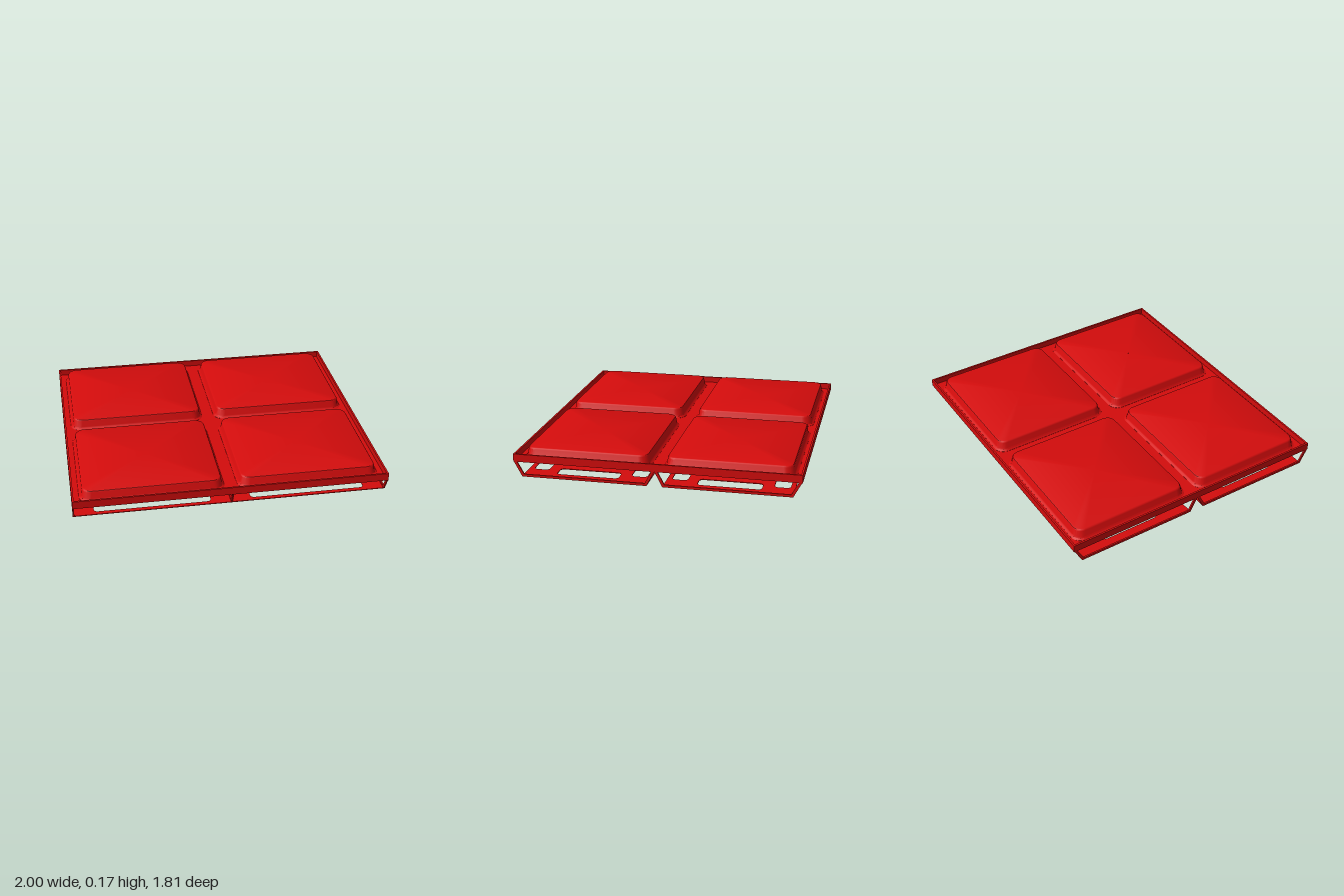
import * as THREE from 'three';
import { toCreasedNormals } from 'three/addons/utils/BufferGeometryUtils.js';

const red = new THREE.MeshStandardMaterial({ color: 0xd40c0c });
const CX = 0.497, CZ = 0.45; // cell centre

function add(parent, name, geometry, x = 0, y = 0, z = 0) {
  const mesh = new THREE.Mesh(geometry, red);
  mesh.name = name;
  mesh.position.set(x, y, z);
  parent.add(mesh);
  return mesh;
}

// Corner points of a rounded rectangle given by half sizes
function roundRect(hx, hz, r, cx = 0, cz = 0, steps = 6) {
  const pts = [];
  [[1, 1], [-1, 1], [-1, -1], [1, -1]].forEach(([sx, sz], q) => {
    for (let i = 0; i <= steps; i++) {
      const a = (q + i / steps) * Math.PI / 2;
      pts.push(new THREE.Vector2(cx + sx * (hx - r) + r * Math.cos(a), cz + sz * (hz - r) + r * Math.sin(a)));
    }
  });
  return pts;
}

// Skin over rounded-rectangle rings [halfX, halfZ, radius, y]
function loft(rings) {
  const pos = [], idx = [];
  let n = 0;
  rings.forEach(([hx, hz, r, y]) => {
    const pts = roundRect(hx, hz, r);
    n = pts.length;
    pts.forEach(p => pos.push(p.x, y, p.y));
  });
  for (let i = 0; i < rings.length - 1; i++) {
    for (let j = 0; j < n; j++) {
      const a = i * n + j, b = i * n + (j + 1) % n;
      idx.push(a, a + n, b, b, a + n, b + n);
    }
  }
  const g = new THREE.BufferGeometry();
  g.setAttribute('position', new THREE.Float32BufferAttribute(pos, 3));
  g.setIndex(idx);
  return toCreasedNormals(g, 0.5);
}

function extrude(shape, depth) {
  return new THREE.ExtrudeGeometry(shape, { depth, bevelEnabled: false });
}

// Flat sheet in the xz plane, its upper face on y = 0
function sheet(outline, holes, thickness) {
  const shape = new THREE.Shape(outline);
  holes.forEach(h => shape.holes.push(new THREE.Path(h)));
  return extrude(shape, thickness).rotateX(Math.PI / 2);
}

const poly = list => list.map(([x, y]) => new THREE.Vector2(x, y));
const rect = (x0, x1, z0, z1) => poly([[x0, z0], [x1, z0], [x1, z1], [x0, z1]]);

// Hollow raised pad with a flared foot and softened top edge
function padGeometry() {
  return loft([
    [0.001, 0.001, 0.001, 0.157], [0.415, 0.365, 0.05, 0.157], [0.415, 0.365, 0.05, 0.095],
    [0.457, 0.412, 0.07, 0.095], [0.457, 0.412, 0.07, 0.105], [0.447, 0.401, 0.065, 0.112],
    [0.442, 0.396, 0.06, 0.12], [0.436, 0.39, 0.058, 0.16], [0.431, 0.386, 0.055, 0.167],
    [0.425, 0.38, 0.05, 0.17], [0.001, 0.001, 0.001, 0.17],
  ]);
}

// Bracket half: two curved end plates joined by an outer bar
function bracket(parent, side) {
  const g = new THREE.Group();
  g.name = side > 0 ? 'leftBracket' : 'rightBracket';
  const end = [[0.014, 0.158], [0.014, 0.058], [0.13, 0.026], [0.15, 0.025], [0.175, 0.032],
    [0.195, 0.045], [0.205, 0.062], [0.205, 0.158]];
  const bar = [[0.135, 0.158], [0.135, 0.026], [0.15, 0.025], [0.175, 0.032],
    [0.195, 0.045], [0.205, 0.062], [0.205, 0.158]];
  const shape = pts => new THREE.Shape(poly(pts.map(([x, y]) => [side * x, y])));
  [-0.17, 0.125].forEach(z => add(g, 'endPlate', extrude(shape(end), 0.045), 0, 0, z));
  add(g, 'outerBar', extrude(shape(bar), 0.25), 0, 0, -0.125);
  parent.add(g);
}

// Thin base sheet of one cell, with its windows
function baseGeometry() {
  const slot = (hx, hz, cx, cz) => roundRect(hx, hz, 0.025, cx, cz);
  return sheet(rect(-0.497, 0.497, -0.4, 0.4), [
    slot(0.37, 0.05, 0, 0.32), slot(0.37, 0.05, 0, -0.32),
    slot(0.26, 0.21, 0, 0),
    slot(0.05, 0.2, 0.38, 0), slot(0.05, 0.2, -0.38, 0),
  ], 0.005);
}

// Side frame with slanted ends
function sideFrame() {
  const s = new THREE.Shape(poly([[-0.45, 0.097], [-0.4, 0], [0.4, 0], [0.452, 0.097]]));
  s.holes.push(new THREE.Path(poly([[-0.43, 0.096], [-0.388, 0.016], [0.388, 0.016], [0.432, 0.096]])));
  return extrude(s, 0.01).rotateY(-Math.PI / 2);
}

export function createModel() {
  const model = new THREE.Group();
  model.name = 'padPanel';
  const signs = [-1, 1];

  // Recessed deck with an upright rim
  const holes = [];
  signs.forEach(sx => signs.forEach(sz => holes.push(roundRect(0.42, 0.37, 0.05, sx * CX, sz * CZ))));
  add(model, 'deck', sheet(rect(-0.995, 0.995, -0.9, 0.9), holes, 0.008), 0, 0.104, 0);
  add(model, 'rim', sheet(rect(-1, 1, -0.905, 0.905), [rect(-0.988, 0.988, -0.893, 0.893)], 0.05), 0, 0.145, 0);

  const pad = padGeometry(), base = baseGeometry(), frame = sideFrame();
  signs.forEach(sx => signs.forEach(sz => {
    const cell = new THREE.Group();
    cell.name = 'cell';
    cell.position.set(sx * CX, 0, sz * CZ);
    add(cell, 'pad', pad);
    signs.forEach(s => bracket(cell, s));
    add(cell, 'basePlate', base, 0, 0.005, 0);
    model.add(cell);
  }));

  // Slanted frames along both sides and down the middle
  signs.forEach(sz => [-0.99, 0.005, 1].forEach(x => {
    add(model, 'sideFrame', frame, x, 0, sz * CZ).scale.z = sz;
  }));
  return model;
}
